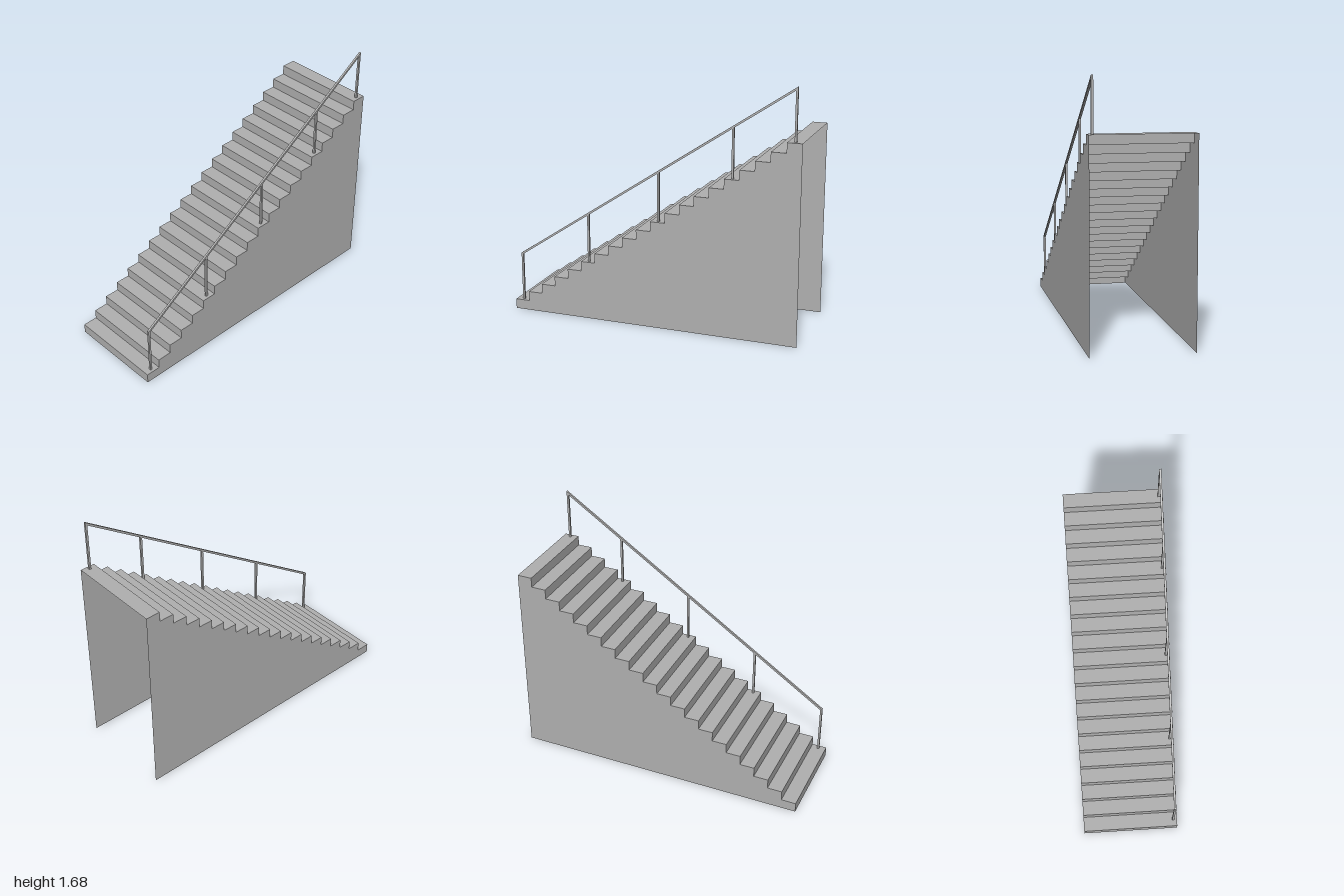
import * as THREE from 'three';

const STEPS = 20, RUN = 0.1, RISE = 0.2 / 3, HALF = 0.33;
const BAR = 0.014, RAIL_X = 0.304;

export function createModel() {
  const group = new THREE.Group();
  const concrete = new THREE.MeshStandardMaterial({ color: 0xb0b0b0, side: THREE.DoubleSide });
  concrete.name = 'grey';
  const add = (name, geometry, x, y, z) => {
    const mesh = new THREE.Mesh(geometry, concrete);
    mesh.name = name;
    mesh.position.set(x, y, z);
    group.add(mesh);
    return mesh;
  };

  // Open shell of thin risers and treads
  const riser = new THREE.PlaneGeometry(2 * HALF, RISE);
  const tread = new THREE.PlaneGeometry(2 * HALF, RUN).rotateX(-Math.PI / 2);
  for (let i = 0; i < STEPS; i++) {
    const z = 1 - i * RUN;
    add('riser', riser, 0, (i + 0.5) * RISE, z);
    add('tread', tread, 0, (i + 1) * RISE, z - RUN / 2);
  }

  // Stepped side panels; the shape runs from the front to the back
  const outline = new THREE.Shape().moveTo(-1, 0);
  for (let i = 0; i < STEPS; i++) {
    outline.lineTo(-1 + i * RUN, (i + 1) * RISE);
    outline.lineTo(-1 + (i + 1) * RUN, (i + 1) * RISE);
  }
  outline.lineTo(1, 0);
  const panel = new THREE.ShapeGeometry(outline).rotateY(Math.PI / 2);
  add('leftSide', panel, HALF, 0, 0);
  add('rightSide', panel, -HALF, 0, 0);

  // Handrail posts
  const height = 5 * RISE;
  const post = new THREE.BoxGeometry(BAR, height, BAR);
  for (const step of [1, 6, 11, 16, 20]) {
    add('handrailPost', post, RAIL_X, step * RISE + height / 2, 1 - (step - 0.5) * RUN);
  }

  // Sloping handrail with upright ends
  const end = 0.95 + BAR / 2;
  const at = (u) => 6 * RISE + (u + 0.95) * RISE / RUN;
  const t = BAR * 0.6;
  const rail = new THREE.Shape([
    new THREE.Vector2(-end, at(-end) - t), new THREE.Vector2(end, at(end) - t),
    new THREE.Vector2(end, at(end) + t), new THREE.Vector2(-end, at(-end) + t),
  ]);
  const railGeometry = new THREE.ExtrudeGeometry(rail, { depth: BAR, bevelEnabled: false });
  railGeometry.translate(0, 0, -BAR / 2).rotateY(Math.PI / 2);
  add('handrail', railGeometry, RAIL_X, 0, 0);

  return group;
}
